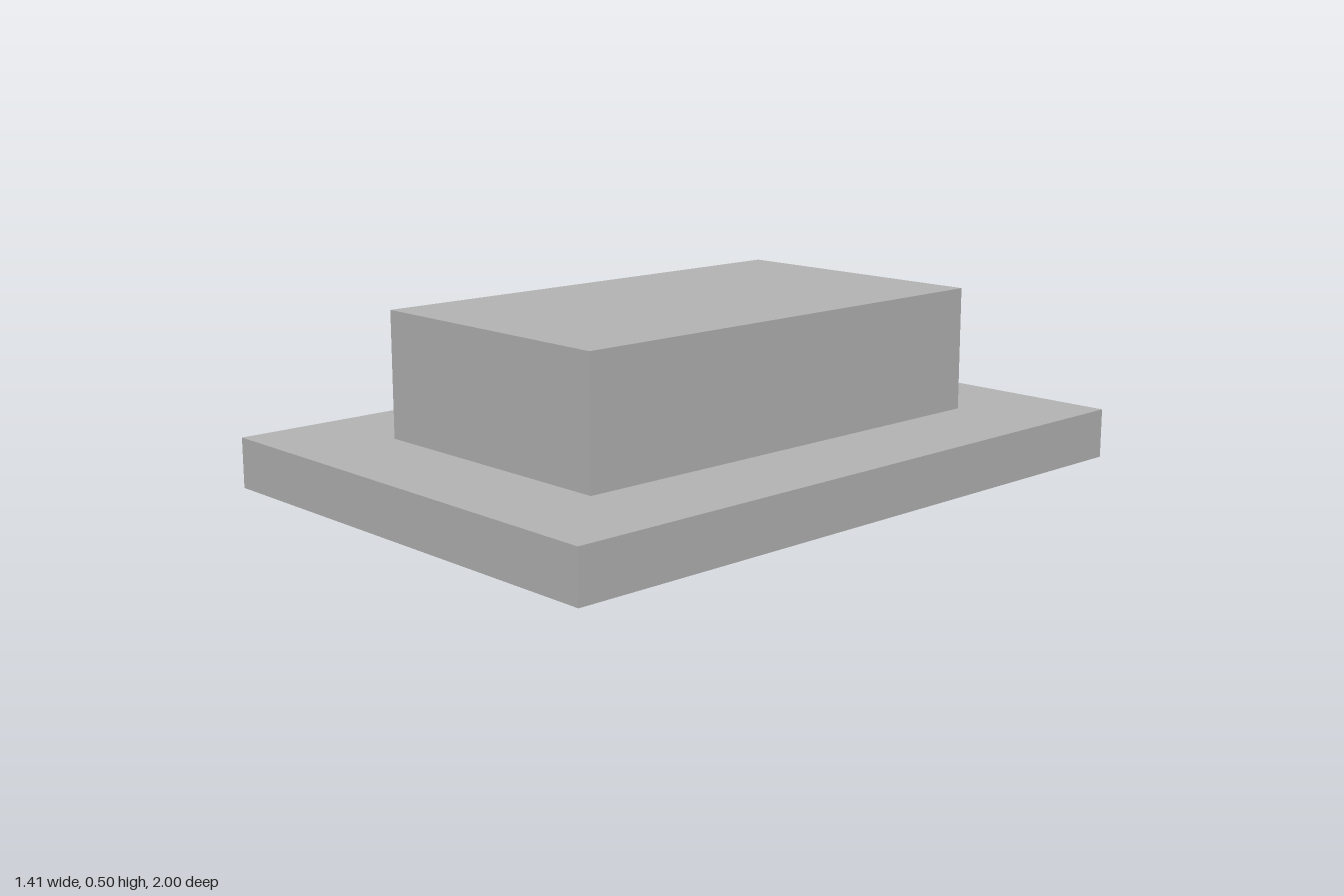
import * as THREE from 'three';
import { toCreasedNormals } from 'three/addons/utils/BufferGeometryUtils.js';

const WALL = 0.142;          // plate and wall thickness
const HEIGHT = 0.497;        // overall height
const R = 0.267;             // entry hole and cavity radius
const SLOT = 0.132;          // half width of the narrow slot
const C = 0.295;             // z of the entry hole centre, mirrored for the slot end
const CEILING = HEIGHT - WALL;

// Rounded slot along z; the neck of a keyhole is narrower than its round entry.
function slotOutline(path, neck) {
  const a = Math.acos(neck / R);
  path.absarc(0, C, R, -a, Math.PI + a, false);
  path.absarc(0, -C, neck, Math.PI, Math.PI * 2, false);
  path.closePath();
  return path;
}

// Lay a drawing in x and z flat, with the extrusion hanging below height top.
const layFlat = (geometry, top) => geometry.rotateX(Math.PI / 2).translate(0, top, 0);

const extrude = (shape, depth) =>
  new THREE.ExtrudeGeometry(shape, { depth, bevelEnabled: false, curveSegments: 40 });

export function createModel() {
  const group = new THREE.Group();
  const grey = new THREE.MeshStandardMaterial({ color: 0xb4b4b4 });
  grey.name = 'grey';
  const add = (name, geometry) => {
    const mesh = new THREE.Mesh(geometry, grey);
    mesh.name = name;
    group.add(mesh);
  };

  // Base plate with the keyhole cut through it
  const plate = new THREE.Shape([
    [-0.707, -1], [0.707, -1], [0.707, 1], [-0.707, 1],
  ].map(([x, z]) => new THREE.Vector2(x, z)));
  plate.holes.push(slotOutline(new THREE.Path(), SLOT));
  add('basePlate', toCreasedNormals(layFlat(extrude(plate, WALL), WALL), 0.5));

  // Raised block, open underneath
  const block = new THREE.BoxGeometry(0.818, HEIGHT - WALL, 1.412);
  block.translate(0, (HEIGHT + WALL) / 2, 0);
  const faces = Array.from(block.index.array);
  faces.splice(18, 6);
  block.clearGroups();
  block.setIndex(faces);
  add('raisedBlock', block);

  // Cavity inside the block: sides only, mirrored so they face inward
  const cavity = slotOutline(new THREE.Shape(), R);
  const solid = layFlat(extrude(cavity, CEILING - WALL), CEILING);
  const { start, count } = solid.groups[1];
  const positions = solid.attributes.position.array.slice(start * 3, (start + count) * 3);
  const walls = new THREE.BufferGeometry();
  walls.setAttribute('position', new THREE.BufferAttribute(positions, 3));
  walls.scale(-1, 1, 1);
  add('cavityWalls', toCreasedNormals(walls, 0.5));

  // Downward-facing roof of the cavity
  add('cavityCeiling', layFlat(new THREE.ShapeGeometry(cavity, 40), CEILING));

  return group;
}
